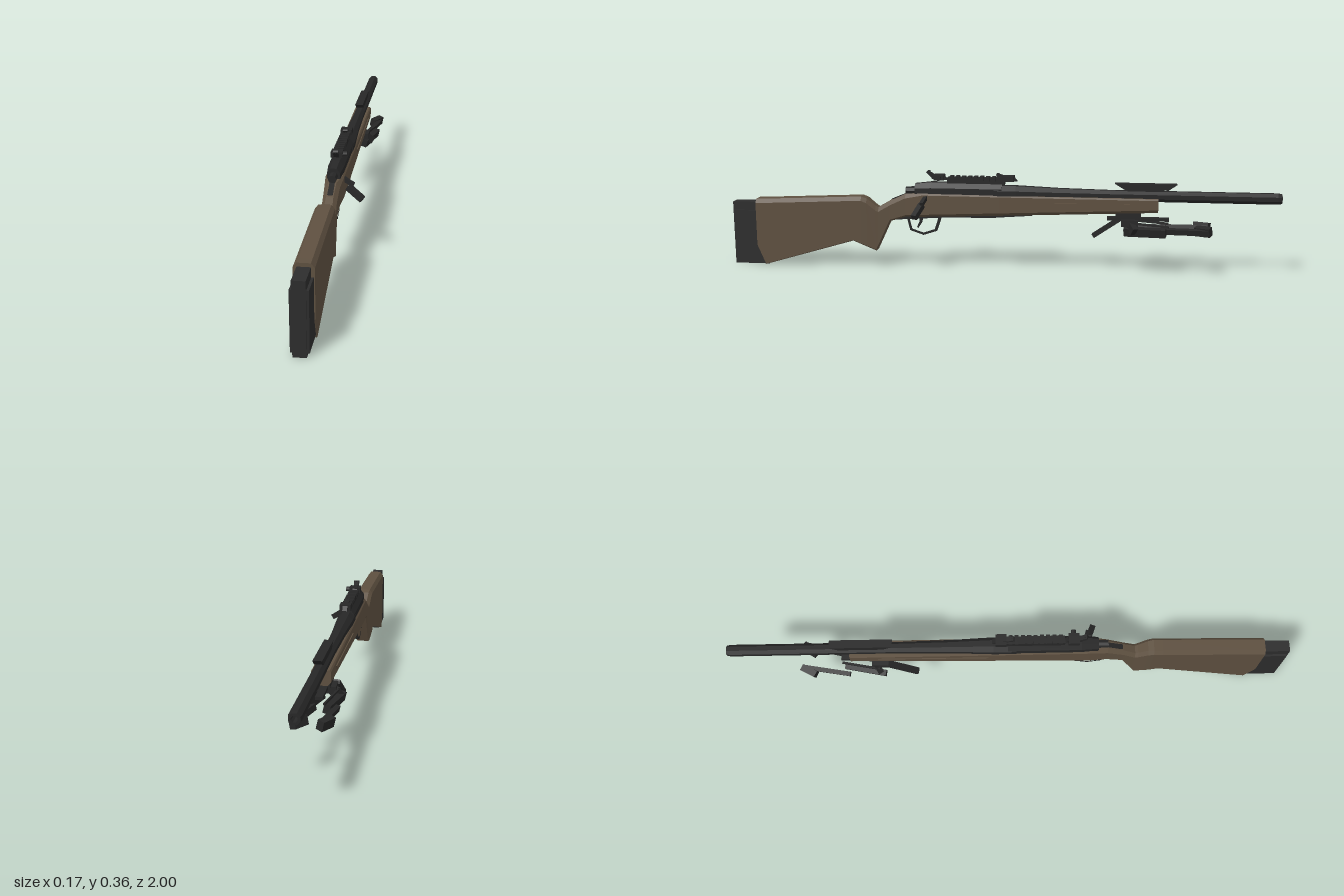
import * as THREE from 'three';

const mat = (name, color) => {
  const m = new THREE.MeshStandardMaterial({ color, flatShading: true });
  m.name = name;
  return m;
};

export function createModel() {
  const wood = mat('brown stock', 0x5e5040);
  const metal = mat('dark metal', 0x272727);
  const rubber = mat('dark rubber', 0x2d2d2d);

  const model = new THREE.Group();
  model.name = 'rifle';
  model.position.x = -0.0165;
  const root = new THREE.Group();
  root.add(model);

  const add = (name, geo, material, parent = model) => {
    const m = new THREE.Mesh(geo, material);
    m.name = name;
    parent.add(m);
    return m;
  };
  const box = (name, x0, x1, y0, y1, z0, z1, material = metal) =>
    add(name, new THREE.BoxGeometry(x1 - x0, y1 - y0, z1 - z0)
      .translate((x0 + x1) / 2, (y0 + y1) / 2, (z0 + z1) / 2), material);

  // Side profile given as (z, y) points, extruded across x
  const profile = (name, pts, width, x = 0, material = metal, hole) => {
    const shape = new THREE.Shape(pts.map(p => new THREE.Vector2(...p)));
    if (hole) shape.holes.push(new THREE.Path(hole.map(p => new THREE.Vector2(...p))));
    const geo = new THREE.ExtrudeGeometry(shape, { depth: width, bevelEnabled: false });
    return add(name, geo.rotateY(-Math.PI / 2).translate(x + width / 2, 0, 0), material);
  };

  // Square bar between two points
  const bar = (name, a, b, w, h = w, roll = 0) => {
    const from = new THREE.Vector3(...a), to = new THREE.Vector3(...b);
    const geo = new THREE.BoxGeometry(w, h, from.distanceTo(to)).rotateZ(roll);
    const m = add(name, geo, metal);
    m.position.copy(from).add(to).multiplyScalar(0.5);
    m.lookAt(to);
    return m;
  };

  // Eight-sided sections joined along z: [z, bottom, top, halfWidth, topBevel, bottomBevel]
  const loft = (name, stations, material) => {
    const pos = [], idx = [], n = 8;
    for (const [z, b, t, w, ct, cb] of stations) {
      const ring = [[w - cb, b], [w, b + cb], [w, t - ct * 1.3], [w - ct, t],
        [ct - w, t], [-w, t - ct * 1.3], [-w, b + cb], [cb - w, b]];
      ring.forEach(([x, y]) => pos.push(x, y, z));
    }
    for (let i = 0; i < stations.length - 1; i++) {
      for (let j = 0; j < n; j++) {
        const a = i * n + j, b = i * n + (j + 1) % n;
        idx.push(a, a + n, b, b, a + n, b + n);
      }
    }
    const e = (stations.length - 1) * n;
    for (let k = 1; k < n - 1; k++) idx.push(0, k, k + 1, e, e + k + 1, e + k);
    const geo = new THREE.BufferGeometry();
    geo.setAttribute('position', new THREE.Float32BufferAttribute(pos, 3));
    geo.setIndex(idx);
    geo.computeVertexNormals();
    return add(name, geo, material);
  };

  // Stock, from butt through the grip to the fore-end
  loft('stock', [
    [0.91, 0.08, 0.255, 0.0315, 0.011, 0.002],
    [0.88, 0.008, 0.256, 0.0315, 0.011, 0.002],
    [0.542, 0.107, 0.271, 0.0315, 0.011, 0.003],
    [0.51, 0.094, 0.272, 0.0315, 0.011, 0.003],
    [0.49, 0.085, 0.265, 0.030, 0.012, 0.004],
    [0.457, 0.07, 0.238, 0.027, 0.012, 0.005],
    [0.447, 0.091, 0.232, 0.026, 0.012, 0.005],
    [0.404, 0.182, 0.257, 0.024, 0.012, 0.006],
    [0.345, 0.2, 0.285, 0.026, 0.012, 0.007],
    [0.28, 0.202, 0.289, 0.0315, 0.005, 0.009],
    [0, 0.212, 0.287, 0.0315, 0.004, 0.011],
    [-0.57, 0.236, 0.286, 0.0315, 0.004, 0.011],
  ], wood);
  for (const s of [-1, 1]) {
    profile('foreEndPanel', [[-0.08, 0.262], [-0.1, 0.243], [-0.45, 0.252], [-0.47, 0.268]],
      0.004, s * 0.0325, wood);
  }

  // Butt pad: tall core with wider, shorter flanks
  box('buttPadCore', -0.0205, 0.0205, 0.008, 0.243, 0.87, 1, rubber);
  profile('buttPadFlanks', [[0.995, 0.02], [0.995, 0.212], [0.9, 0.212], [0.9, 0.06], [0.885, 0.02]],
    0.056, 0, rubber);

  // Barrel with a short bore
  const barrel = [[0, -0.02], [0.031, -0.02], [0.031, 0.06], [0.024, 0.22], [0.0205, 0.4],
    [0.0205, 0.985], [0.018, 1], [0.01, 1], [0.01, 0.95], [0, 0.95]];
  add('barrel', new THREE.LatheGeometry(barrel.map(p => new THREE.Vector2(...p)), 8, Math.PI / 8)
    .rotateX(-Math.PI / 2).translate(0, 0.292, 0), metal);

  // Receiver, bolt and top rail
  loft('receiver', [
    [0.31, 0.26, 0.322, 0.022, 0.012, 0.008],
    [0.25, 0.26, 0.329, 0.027, 0.015, 0.008],
    [-0.01, 0.26, 0.329, 0.027, 0.015, 0.008],
  ], metal);
  add('boltShroud', new THREE.CylinderGeometry(0.016, 0.014, 0.07, 8)
    .rotateX(-Math.PI / 2).translate(0, 0.296, 0.31), metal);
  profile('tang', [[0.4, 0.262], [0.31, 0.3], [0.31, 0.27]], 0.018);
  box('rail', -0.014, 0.014, 0.325, 0.348, -0.02, 0.19);
  for (let i = 0; i < 9; i++) {
    const z = 0.175 - i * 0.022;
    box('railRib', -0.017, 0.017, 0.337, 0.352, z - 0.007, z + 0.007);
  }
  bar('boltHandle', [0.018, 0.288, 0.262], [0.058, 0.25, 0.28], 0.014);
  bar('boltKnob', [0.052, 0.256, 0.277], [0.088, 0.207, 0.302], 0.02);

  // Folding sights, curling up at the back of each
  for (const [z, top] of [[0.19, 0.37], [-0.065, 0.365]]) {
    box('sightBase', -0.02, 0.02, 0.337, 0.356, z + 0.012, z + 0.05);
    profile('sightBlade', [[z, 0.337], [z + 0.055, 0.34], [z + 0.078, top - 0.005], [z + 0.074, top],
      [z + 0.05, 0.357], [z + 0.015, 0.356]], 0.017);
    for (const x of [-0.008, 0, 0.008]) box('sightPost', x - 0.0015, x + 0.0015, top - 0.012, top, z + 0.066, z + 0.073);
  }
  add('sightKnob', new THREE.CylinderGeometry(0.009, 0.009, 0.016, 8)
    .rotateZ(Math.PI / 2).translate(0.026, 0.346, 0.22), metal);

  // Short rail over the front of the barrel
  profile('frontRail', [[-0.415, 0.337], [-0.45, 0.316], [-0.605, 0.316], [-0.635, 0.337]], 0.03);
  box('frontRailFoot', -0.009, 0.009, 0.295, 0.32, -0.59, -0.46);

  // Floor plate, trigger guard and trigger
  profile('floorPlate', [[0.385, 0.188], [0.385, 0.2], [0, 0.22], [-0.12, 0.224], [-0.12, 0.214],
    [0, 0.205], [0.02, 0.203], [0.2, 0.2]], 0.034);
  profile('triggerGuard', [[0.345, 0.204], [0.331, 0.148], [0.281, 0.131], [0.232, 0.147], [0.213, 0.204]],
    0.018, 0, metal, [[0.334, 0.198], [0.323, 0.154], [0.281, 0.14], [0.239, 0.154], [0.225, 0.198]]);
  profile('trigger', [[0.298, 0.205], [0.283, 0.205], [0.287, 0.178], [0.302, 0.155], [0.306, 0.16], [0.297, 0.18]], 0.008);

  // Bipod: mount, folded legs and locking lever
  box('bipodMount', -0.018, 0.018, 0.205, 0.24, -0.51, -0.42);
  box('bipodPlate', -0.012, 0.012, 0.203, 0.214, -0.61, -0.39);
  box('bipodYoke', -0.036, 0.036, 0.185, 0.209, -0.5, -0.44);
  for (const s of [-1, 1]) {
    const roll = s * 0.25;
    bar('bipodHinge', [s * 0.034, 0.195, -0.47], [s * 0.036, 0.165, -0.49], 0.02, 0.03);
    bar('bipodUpperLeg', [s * 0.034, 0.165, -0.45], [s * 0.038, 0.17, -0.6], 0.022, 0.03, roll);
    bar('bipodLowerLeg', [s * 0.037, 0.17, -0.58], [s * 0.042, 0.176, -0.75], 0.016, 0.02, roll);
    bar('bipodFoot', [s * 0.04, 0.176, -0.7], [s * 0.042, 0.178, -0.758], 0.024, 0.032, roll);
    bar('bipodSpring', [s * 0.028, 0.195, -0.47], [s * 0.032, 0.19, -0.61], 0.007);
  }
  bar('bipodLever', [-0.012, 0.205, -0.44], [-0.05, 0.137, -0.342], 0.022, 0.016);

  return root;
}
